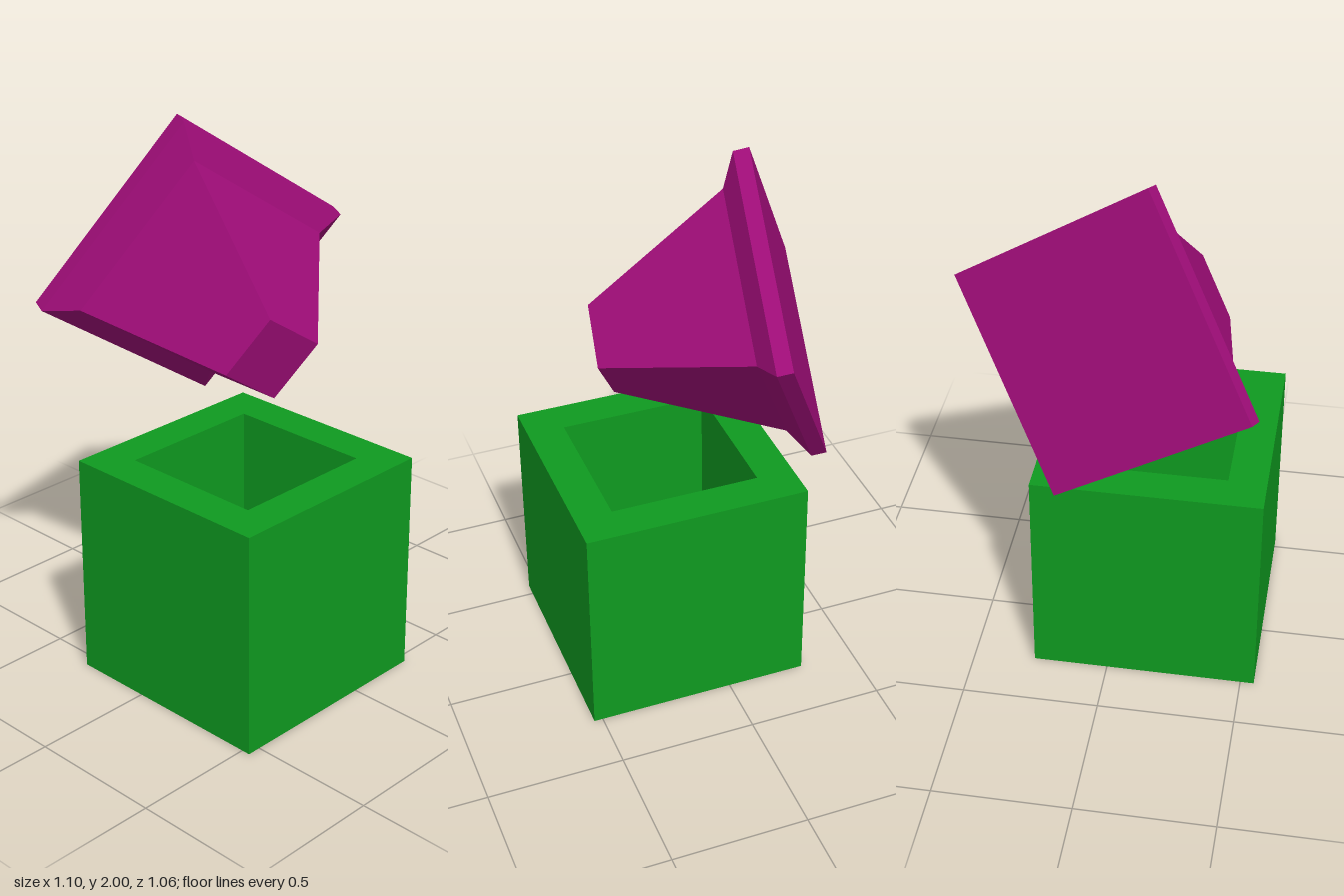
import * as THREE from 'three';

// Solid with a square cross-section: profile of [half width, height], swept with four sides.
function squareLathe(profile, color, name) {
  const points = profile.map(([half, y]) => new THREE.Vector2(half * Math.SQRT2, y));
  const geometry = new THREE.LatheGeometry(points, 4).rotateY(Math.PI / 4);
  const mesh = new THREE.Mesh(geometry, new THREE.MeshStandardMaterial({ color, flatShading: true }));
  mesh.name = name;
  return mesh;
}

export function createModel() {
  const model = new THREE.Group();
  model.name = 'boxAndStopper';

  // Open cube with a square well
  const box = squareLathe(
    [[0, 0], [0.412, 0], [0.412, 0.828], [0.274, 0.828], [0.274, 0.137], [0, 0.137]],
    0x0f9a20, 'openBox');
  box.position.set(-0.138, 0, 0.12);
  model.add(box);

  // Tapered stopper: square plate, bevel, long taper and blunt tip
  const stopper = squareLathe(
    [[0, 0], [0.412, 0], [0.412, 0.056], [0.328, 0.12], [0.12, 0.676], [0, 0.676]],
    0x9f0d78, 'taperedStopper');

  // Tilt it so that the tip points forward and down
  const side = new THREE.Vector3(0.814, -0.553, 0.14).normalize();
  const axis = new THREE.Vector3(-0.323, -0.246, 0.908);
  axis.addScaledVector(side, -axis.dot(side)).normalize();
  const third = new THREE.Vector3().crossVectors(side, axis);
  stopper.quaternion.setFromRotationMatrix(new THREE.Matrix4().makeBasis(side, axis, third));
  stopper.position.set(0.0175, 1.445, -0.3125);
  model.add(stopper);

  return model;
}
